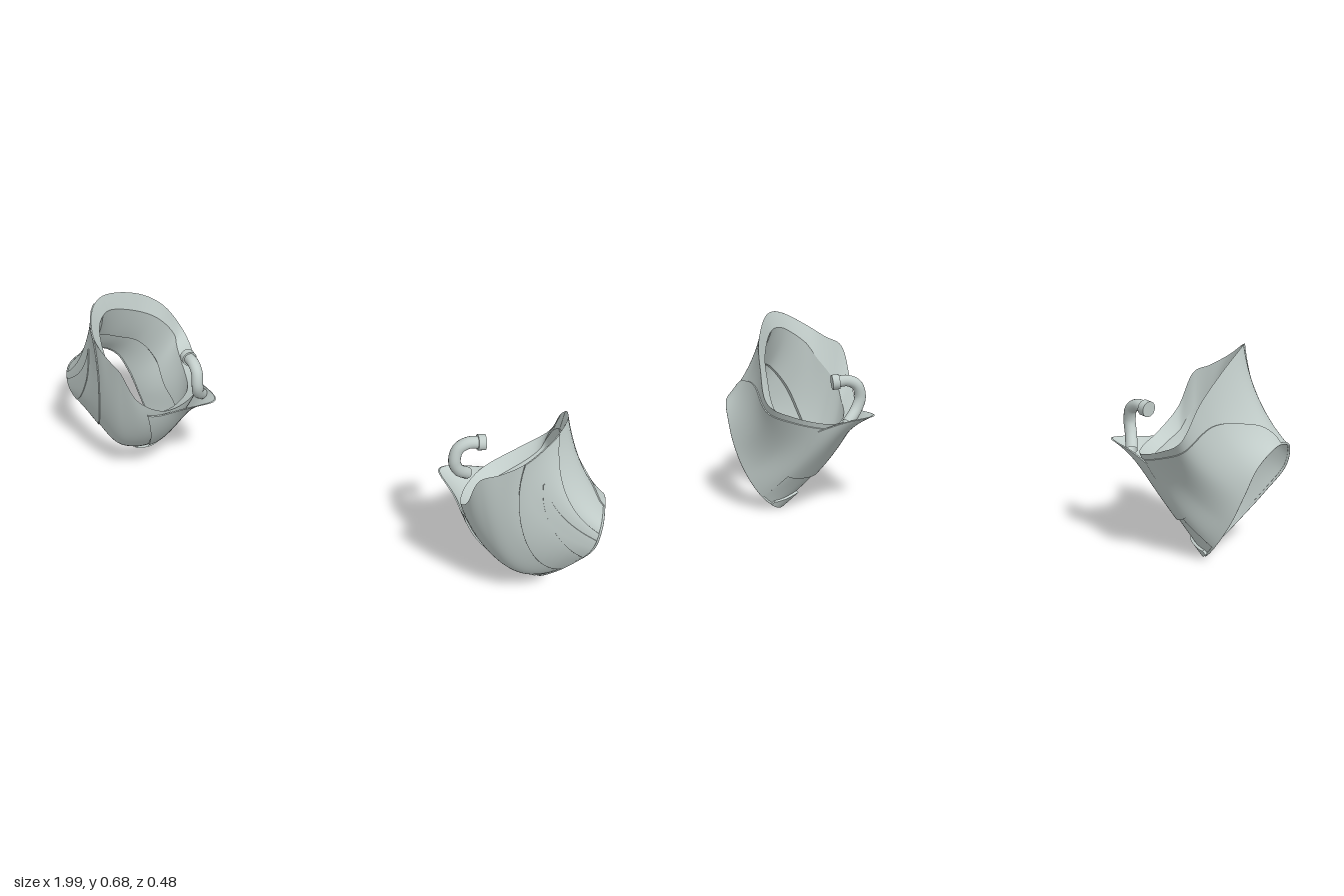
import * as THREE from 'three';

// Columns around the sleeve: outer side, front, inner side, back.
// Each holds a point on the top rim, on the waist and on the arm rim.
const COLUMNS = [
  [[.83, .68, .04], [.885, .52, .02], [.972, .385, 0]],
  [[.82, .67, .12], [.87, .50, .12], [.99, .36, .07]],
  [[.765, .615, .20], [.82, .42, .168], [.98, .29, .09]],
  [[.70, .57, .225], [.77, .30, .185], [.92, .20, .08]],
  [[.645, .54, .238], [.715, .20, .17], [.85, .11, .053]],
  [[.60, .42, .213], [.65, .19, .135], [.79, .04, .01]],
  [[.55, .35, .14], [.607, .19, .06], [.76, .014, -.05]],
  [[.525, .33, .03], [.605, .19, -.02], [.765, .017, -.085]],
  [[.54, .335, -.08], [.64, .20, -.11], [.795, .06, -.122]],
  [[.63, .38, -.19], [.71, .25, -.15], [.845, .15, -.143]],
  [[.70, .43, -.238], [.765, .33, -.18], [.885, .25, -.143]],
  [[.745, .54, -.194], [.815, .42, -.145], [.915, .33, -.12]],
  [[.79, .62, -.11], [.86, .47, -.075], [.948, .375, -.07]],
];
const N = COLUMNS.length;
const [topRim, waist, armRim] = [0, 1, 2].map(k => new THREE.CatmullRomCurve3(
  COLUMNS.map(c => new THREE.Vector3(...c[k])), true, 'centripetal'));

// Point on the sleeve: u counts columns, t runs from top rim (0) to arm rim (1)
function surface(u, t) {
  const f = (((u % N) + N) % N) / N;
  return topRim.getPoint(f).multiplyScalar((1 - t) * (1 - 2 * t))
    .addScaledVector(waist.getPoint(f), 4 * t * (1 - t))
    .addScaledVector(armRim.getPoint(f), t * (2 * t - 1));
}

// Sleeve point pushed along the outward normal
function offsetPoint(u, t, off) {
  const e = .01;
  const du = surface(u + e, t).sub(surface(u - e, t));
  const dt = surface(u, t + e).sub(surface(u, t - e));
  return surface(u, t).addScaledVector(du.cross(dt).normalize(), off);
}

// Smooth grid: at(a, b) with a and b from 0 to 1
function grid(at, na, nb) {
  const pos = [], idx = [];
  for (let j = 0; j <= nb; j++)
    for (let i = 0; i <= na; i++) pos.push(...at(i / na, j / nb).toArray());
  for (let j = 0; j < nb; j++)
    for (let i = 0; i < na; i++) {
      const p = j * (na + 1) + i, q = p + na + 1;
      idx.push(p, p + 1, q, p + 1, q + 1, q);
    }
  const geo = new THREE.BufferGeometry();
  geo.setAttribute('position', new THREE.Float32BufferAttribute(pos, 3));
  geo.setIndex(idx);
  geo.computeVertexNormals();
  return geo;
}

const lerp = THREE.MathUtils.lerp;

function createPiece(material) {
  const piece = new THREE.Group();
  const add = (name, geo) => {
    const mesh = new THREE.Mesh(geo, material);
    mesh.name = name;
    piece.add(mesh);
  };
  // Full ring between two [t, offset] pairs
  const ring = (name, [t0, o0], [t1, o1], nb) => add(name,
    grid((a, b) => offsetPoint(a * N, lerp(t0, t1, b), lerp(o0, o1, b)), 104, nb));

  // Sleeve wall with bevelled top lip, and a lining that stops above the arm cuff
  ring('outerShell', [0, 0], [1, 0], 24);
  ring('topLip', [.14, -.03], [0, 0], 2);
  ring('lining', [.56, -.018], [.14, -.03], 14);
  ring('liningEdge', [.58, -.008], [.56, -.018], 1);
  ring('cuffLining', [1, -.002], [.58, -.008], 12);
  add('armRim', new THREE.TubeGeometry(armRim, 120, .004, 8, true));

  // Raised plates following the shell, with an upright edge all round;
  // uStart and uEnd each give the column at the plate's top and bottom
  const plate = (name, uStart, uEnd, tStart, tEnd, height) => {
    const at = off => (a, b) => {
      const u = lerp(lerp(...uStart, b), lerp(...uEnd, b), a);
      return offsetPoint(u, lerp(tStart(a), tEnd(a), b), off);
    };
    add(name, grid(at(height), 40, 16));
    const side = (a0, b0, a1, b1) => add(name + 'Edge', grid((s, h) =>
      at(height * (1 - h))(lerp(a0, a1, s), lerp(b0, b1, s)), 40, 1));
    side(1, 0, 0, 0);
    side(0, 1, 1, 1);
    side(0, 0, 0, 1);
    side(1, 1, 1, 0);
  };
  plate('frontPlate', [.65, 1.3], [1.98, 3.5], () => 0, () => .99, .004);
  plate('frontInset', [1.45, 1.6], [1.5, 2.5], () => .3, () => .99, .007);
  plate('rearPlate', [8, 8], [13, 13], a => .06 + .86 * Math.pow(a, 2.6), () => 1, .004);
  plate('keelPlate', [5.2, 5.2], [7.4, 7.4],
    a => .97 - .1 * Math.sin(Math.PI * a), () => 1, .009);

  // Inner brim that hugs the sleeve and flares out to a point behind the middle
  const flange = off => (a, b) => {
    const u = lerp(5.3, 8.3, a);
    const bow = Math.sin(Math.PI * Math.pow(a, 1.6));
    const t = lerp(.1 - .2 * bow, .7, b * b);
    const p = offsetPoint(u, t, .002 + off);
    p.x -= .05 * Math.pow(1 - t, 6) * bow * bow;
    return p;
  };
  add('innerFlange', grid(flange(.005), 32, 20));
  add('innerFlangeBack', grid((a, b) => flange(0)(1 - a, b), 32, 20));
  add('innerFlangeEdge', grid((a, b) => flange(.005 * b)(a, 0), 32, 1));

  // Hooked pipe rising beside the inner rim
  const path = new THREE.CatmullRomCurve3([
    [.545, .472, -.03], [.51, .474, -.005], [.485, .455, .015],
    [.479, .41, .025], [.488, .37, .01], [.502, .33, -.035],
  ].map(p => new THREE.Vector3(...p)));
  add('hookPipe', new THREE.TubeGeometry(path, 40, .02, 16));
  const capDir = path.getTangent(0).negate();
  const cap = new THREE.CylinderGeometry(.026, .026, .025, 20);
  cap.applyQuaternion(new THREE.Quaternion().setFromUnitVectors(
    new THREE.Vector3(0, 1, 0), capDir));
  cap.translate(...path.getPoint(0).toArray());
  add('pipeEnd', cap);
  return piece;
}

export function createModel() {
  const material = new THREE.MeshStandardMaterial({ color: 0xc2cdca, side: THREE.DoubleSide });
  material.name = 'paleGreyGreen';
  const model = new THREE.Group();
  model.name = 'shoulderGuards';
  const left = createPiece(material);
  left.name = 'leftShoulderGuard';
  const right = createPiece(material);
  right.name = 'rightShoulderGuard';
  right.scale.x = -1;
  model.add(left, right);
  return model;
}
